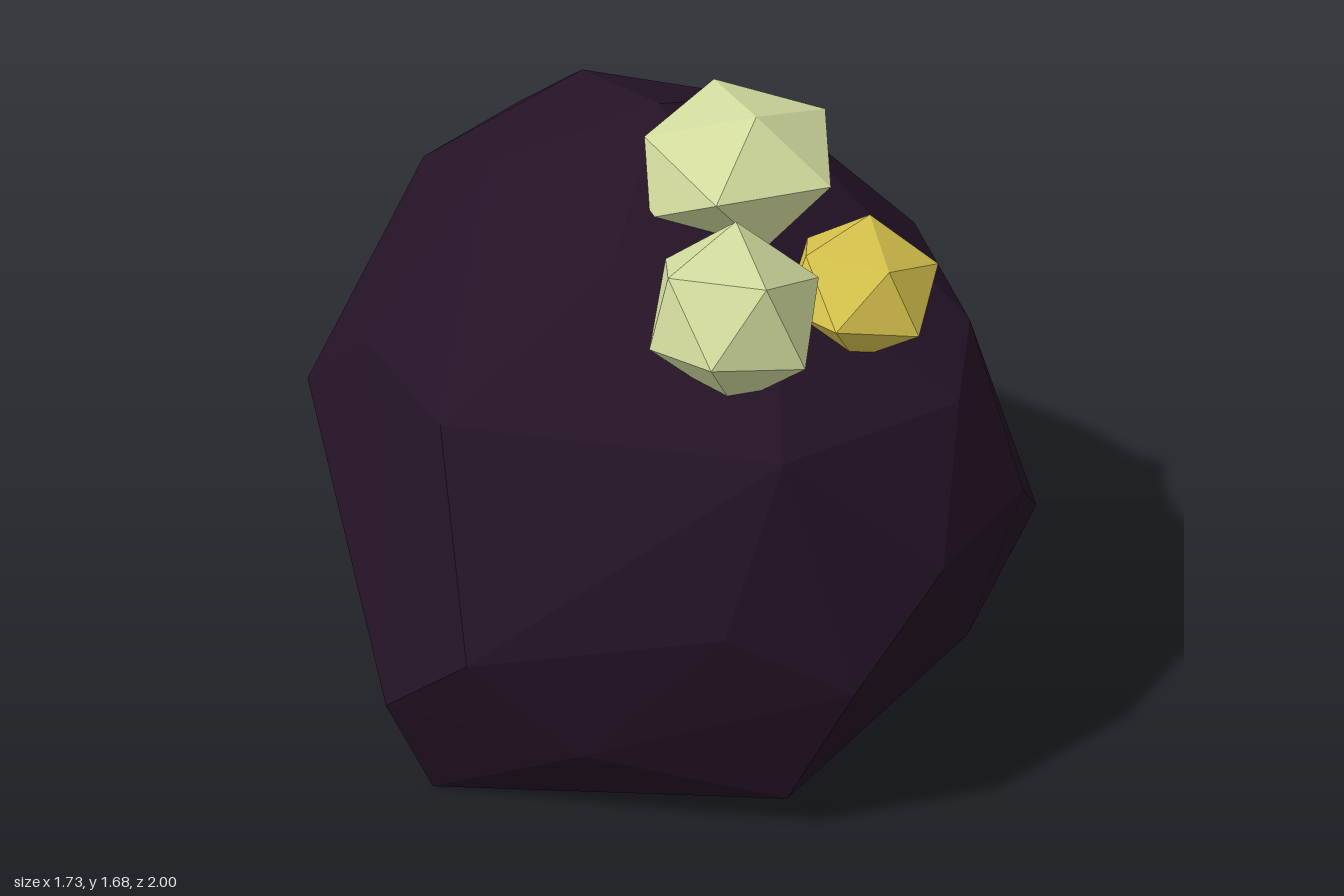
import * as THREE from 'three';
import { ConvexGeometry } from 'three/addons/geometries/ConvexGeometry.js';

const paint = (color) => new THREE.MeshStandardMaterial({ color, flatShading: true });

// Corners of the faceted boulder, from the base up
const corners = [
  // base
  [-0.76, 0, 0.25], [-0.22, 0.06, -0.82], [0.59, 0.07, -0.5], [0.74, 0.15, 0.6], [-0.1, 0.14, 0.87],
  [-0.65, 0.25, -0.32],
  // lower belt
  [-0.87, 0.37, 0.26], [-0.55, 0.36, 0.65], [-0.03, 0.58, 1], [0.39, 0.48, 0.92], [0.77, 0.58, 0.73],
  [0.86, 0.46, 0.26], [0.67, 0.44, -0.6], [0.18, 0.35, -0.95], [-0.37, 0.4, -1], [-0.6, 0.66, -0.67],
  // upper belt
  [-0.76, 0.64, 0.49], [-0.29, 0.76, 0.84], [0.22, 0.83, 0.98], [0.55, 0.84, 0.88], [0.75, 0.84, -0.2],
  [0.34, 0.8, -0.87], [-0.16, 0.75, -0.96],
  // shoulders
  [-0.64, 1.1, 0.2], [-0.12, 1.17, 0.8], [0.36, 1.15, 0.82], [0.58, 1.16, 0.6], [0.73, 1.17, 0.21],
  [0.43, 1.29, -0.42], [0.14, 1.25, -0.75], [-0.2, 1.22, -0.68], [-0.6, 1.04, -0.25],
  // crown
  [-0.25, 1.45, -0.22], [-0.2, 1.42, 0.25], [0.1, 1.4, 0.45], [0.4, 1.52, -0.03], [0.12, 1.51, -0.4],
  [0.1, 1.6, -0.02],
];

// Icosahedral nodule: one corner turned to the pole, spun, flattened, tilted
// down the slope and fitted between two corners
function nodule(name, color, min, max, spin, flatten, tilt) {
  const geometry = new THREE.IcosahedronGeometry(1, 0);
  geometry.rotateX(-1.017).rotateY(spin).scale(1, flatten, 1).rotateX(tilt);
  geometry.center();
  const size = geometry.boundingBox.getSize(new THREE.Vector3()).toArray();
  geometry.scale(...size.map((s, i) => (max[i] - min[i]) / s));
  geometry.translate(...min.map((v, i) => (v + max[i]) / 2));
  const mesh = new THREE.Mesh(geometry, paint(color));
  mesh.name = name;
  return mesh;
}

export function createModel() {
  const model = new THREE.Group();
  model.name = 'boulderWithNodules';

  const boulder = new THREE.Mesh(
    new ConvexGeometry(corners.map((c) => new THREE.Vector3(...c))), paint(0x241326));
  boulder.name = 'boulder';
  model.add(boulder);

  // Cluster on the front slope of the crown
  model.add(
    nodule('largeNodule', 0xd4dd9f, [-0.07, 1.38, -0.02], [0.41, 1.68, 0.43], 0.4, 0.8, 0.3),
    nodule('mediumNodule', 0xd4dd9f, [-0.25, 1.21, 0.33], [0.13, 1.55, 0.71], 0.3, 0.8, 0.7),
    nodule('yellowNodule', 0xd8c44c, [0.09, 1.23, 0.4], [0.44, 1.48, 0.73], 0.2, 0.7, 0.7));
  return model;
}
